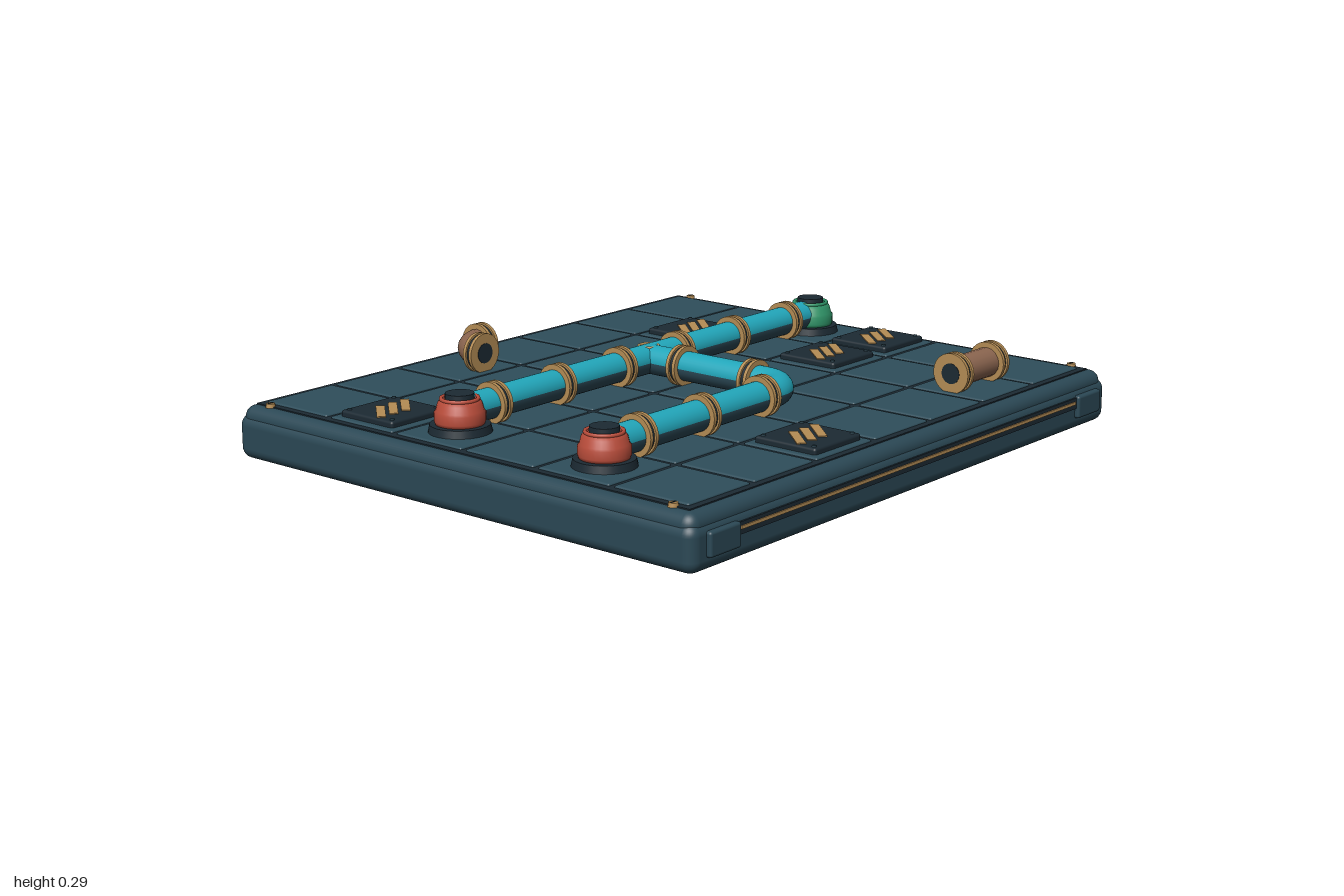
import * as THREE from 'three';
import { RoundedBoxGeometry } from 'three/addons/geometries/RoundedBoxGeometry.js';
import { ParametricGeometry } from 'three/addons/geometries/ParametricGeometry.js';

const paint = (name, color) => {
  const m = new THREE.MeshStandardMaterial({ color });
  m.name = name;
  return m;
};

export function createModel() {
  const body = paint('slate teal', 0x2b4855), tileMat = paint('tile teal', 0x2f4e5b);
  const dark = paint('dark slate', 0x1c2a33), cyan = paint('cyan', 0x22a6ba);
  const brass = paint('brass', 0xb58d55), copper = paint('copper brown', 0x8c6650);
  const red = paint('red', 0xb84c3a), green = paint('green', 0x2f9468);

  const model = new THREE.Group();
  const add = (name, geo, mat, x = 0, y = 0, z = 0, parent = model) => {
    const mesh = new THREE.Mesh(geo, mat);
    mesh.name = name;
    mesh.position.set(x, y, z);
    parent.add(mesh);
    return mesh;
  };
  const box = (w, h, d) => new THREE.BoxGeometry(w, h, d);
  const rounded = (w, h, d, r) => new RoundedBoxGeometry(w, h, d, 4, r);

  const P = 0.269, CZ = -0.01, AXIS = 0.226, R = 0.045;
  const colX = c => (c - 3) * P;
  const rowZ = r => (r - 2.5) * P + CZ;

  // Board: lower shell, inset lid, dark groove bed, tiles
  add('lowerShell', rounded(2, 0.135, 1.725, 0.035), body, 0, 0.0685, -0.0075);
  add('upperShell', rounded(1.982, 0.11, 1.707, 0.035), body, 0, 0.106, -0.0075);
  add('grooveBed', box(1.91, 0.02, 1.64), dark, 0, 0.1545, CZ);
  const tileGeo = rounded(0.252, 0.03, 0.252, 0.006);
  for (let c = 0; c < 7; c++)
    for (let r = 0; r < 6; r++) add('tile', tileGeo, tileMat, colX(c), 0.155, rowZ(r));

  // Corner screws
  for (const x of [-0.953, 0.953])
    for (const z of [-0.772, 0.755]) {
      add('screw', new THREE.CylinderGeometry(0.013, 0.015, 0.012, 12), brass, x, 0.167, z);
      add('screwSlot', box(0.02, 0.002, 0.004), dark, x, 0.1735, z);
    }

  // Front trim
  add('frontChannel', box(1.64, 0.034, 0.008), dark, 0, 0.09, 0.856);
  add('frontBrassLine', box(1.62, 0.009, 0.009), brass, 0, 0.092, 0.859);
  for (const x of [-0.88, 0.88]) add('frontBlock', rounded(0.125, 0.07, 0.03, 0.008), body, x, 0.077, 0.855);

  // Surface swept round a level path, between two angles (0 to PI is the upper half)
  const sweep = (path, a0, a1, steps) => new ParametricGeometry((u, v, out) => {
    const p = path.getPoint(u), t = path.getTangent(u), a = a0 + (a1 - a0) * v;
    const c = R * Math.cos(a);
    out.set(p.x - t.z * c, AXIS + R * Math.sin(a), p.z + t.x * c);
  }, steps, 16);
  const line = (x0, z0, x1, z1) =>
    new THREE.LineCurve3(new THREE.Vector3(x0, 0, z0), new THREE.Vector3(x1, 0, z1));
  const bend = (cx, cz, r, from, to) => {
    const path = new THREE.Curve();
    path.getPoint = (t, out = new THREE.Vector3()) => {
      const a = from + (to - from) * t;
      return out.set(cx + r * Math.cos(a), 0, cz + r * Math.sin(a));
    };
    return path;
  };
  const flowPipe = (path, steps = 1) => {
    add('pipeTop', sweep(path, 0, Math.PI, steps), cyan);
    add('pipeUnderside', sweep(path, Math.PI, 2 * Math.PI, steps), body);
  };

  // Coupling: two brass rims around a dark seal
  const rimGeo = new THREE.CylinderGeometry(0.061, 0.061, 0.011, 28);
  const sealGeo = new THREE.CylinderGeometry(0.055, 0.055, 0.014, 28);
  const coupling = (x, z, alongX) => {
    const g = new THREE.Group();
    g.name = 'coupling';
    add('rim', rimGeo, brass, 0, -0.0115, 0, g);
    add('seal', sealGeo, dark, 0, 0, 0, g);
    add('rim', rimGeo, brass, 0, 0.0115, 0, g);
    g.position.set(x, AXIS, z);
    if (alongX) g.rotation.z = Math.PI / 2;
    else g.rotation.x = Math.PI / 2;
    model.add(g);
    return g;
  };

  // Connected pipe run
  const Z1 = rowZ(2), Z2 = rowZ(4), BR = 0.085;
  flowPipe(line(colX(0), Z1, colX(6), Z1));
  flowPipe(line(colX(0), Z2, -BR, Z2));
  flowPipe(bend(-BR, Z2 - BR, BR, Math.PI / 2, 0), 16);
  flowPipe(line(0, Z2 - BR, 0, Z1));
  for (let k = -2.5; k <= 2.5; k++) coupling(k * P, Z1, true);
  for (const k of [-2.5, -1.5, -0.5]) coupling(k * P, Z2, true);
  for (const r of [2.5, 3.5]) coupling(0, rowZ(r), false);
  add('teeRing', new THREE.TorusGeometry(0.03, 0.005, 8, 28), brass, 0, 0.265, Z1).rotation.x = Math.PI / 2;

  // Loose copper pieces with open ends
  const openEnd = (x, z, alongX) => {
    const g = coupling(x, z, alongX);
    add('bore', new THREE.CylinderGeometry(0.031, 0.031, 0.037, 24), dark, 0, 0, 0, g);
  };
  const SX = colX(5), SZ = rowZ(5);
  add('looseStraight', sweep(line(SX - 0.1, SZ, SX + 0.1, SZ), 0, 2 * Math.PI, 1), copper);
  for (const s of [-1, 1]) openEnd(SX + s * 0.095, SZ, true);
  const EX = colX(2), EZ = rowZ(0), ER = 0.1;
  add('looseElbow', sweep(bend(EX + ER, EZ + ER, ER, Math.PI, Math.PI * 1.5), 0, 2 * Math.PI, 18), copper);
  openEnd(EX, EZ + ER - 0.005, false);
  openEnd(EX + ER - 0.005, EZ, true);

  // Valves: dark foot, coloured stepped housing, dark cap
  const profile = [[0.06, 0], [0.07, 0.003], [0.073, 0.012], [0.073, 0.036], [0.068, 0.042],
    [0.063, 0.062], [0.054, 0.074], [0.036, 0.076]].map(p => new THREE.Vector2(...p));
  const housing = new THREE.LatheGeometry(profile, 32);
  const valve = (x, z, mat) => {
    const g = new THREE.Group();
    g.name = 'valve';
    add('foot', new THREE.CylinderGeometry(0.086, 0.092, 0.028, 32), dark, 0, 0.178, 0, g);
    add('housing', housing, mat, 0, 0.19, 0, g);
    add('collar', new THREE.TorusGeometry(0.052, 0.006, 8, 32), mat, 0, 0.264, 0, g).rotation.x = Math.PI / 2;
    add('cap', new THREE.CylinderGeometry(0.041, 0.043, 0.03, 24), dark, 0, 0.265, 0, g);
    g.position.set(x, 0, z);
    model.add(g);
  };
  valve(colX(0), Z1, red);
  valve(colX(0), Z2, red);
  valve(colX(6), Z1, green);

  // Blocked cells: dark plate, three slanted stripes, corner rivets
  for (const [c, r] of [[0, 1], [5, 1], [5, 3], [6, 3], [2, 5]]) {
    const g = new THREE.Group();
    g.name = 'blockedCell';
    add('plate', rounded(0.21, 0.026, 0.21, 0.008), dark, 0, 0.175, 0, g);
    for (const i of [-1, 0, 1])
      add('stripe', box(0.125, 0.004, 0.026), brass, i * 0.048, 0.189, 0, g).rotation.y = 0.84;
    for (const x of [-0.087, 0.087])
      for (const z of [-0.087, 0.087])
        add('rivet', new THREE.CylinderGeometry(0.006, 0.007, 0.006, 10), body, x, 0.189, z, g);
    g.position.set(colX(c), 0, rowZ(r));
    model.add(g);
  }
  return model;
}
